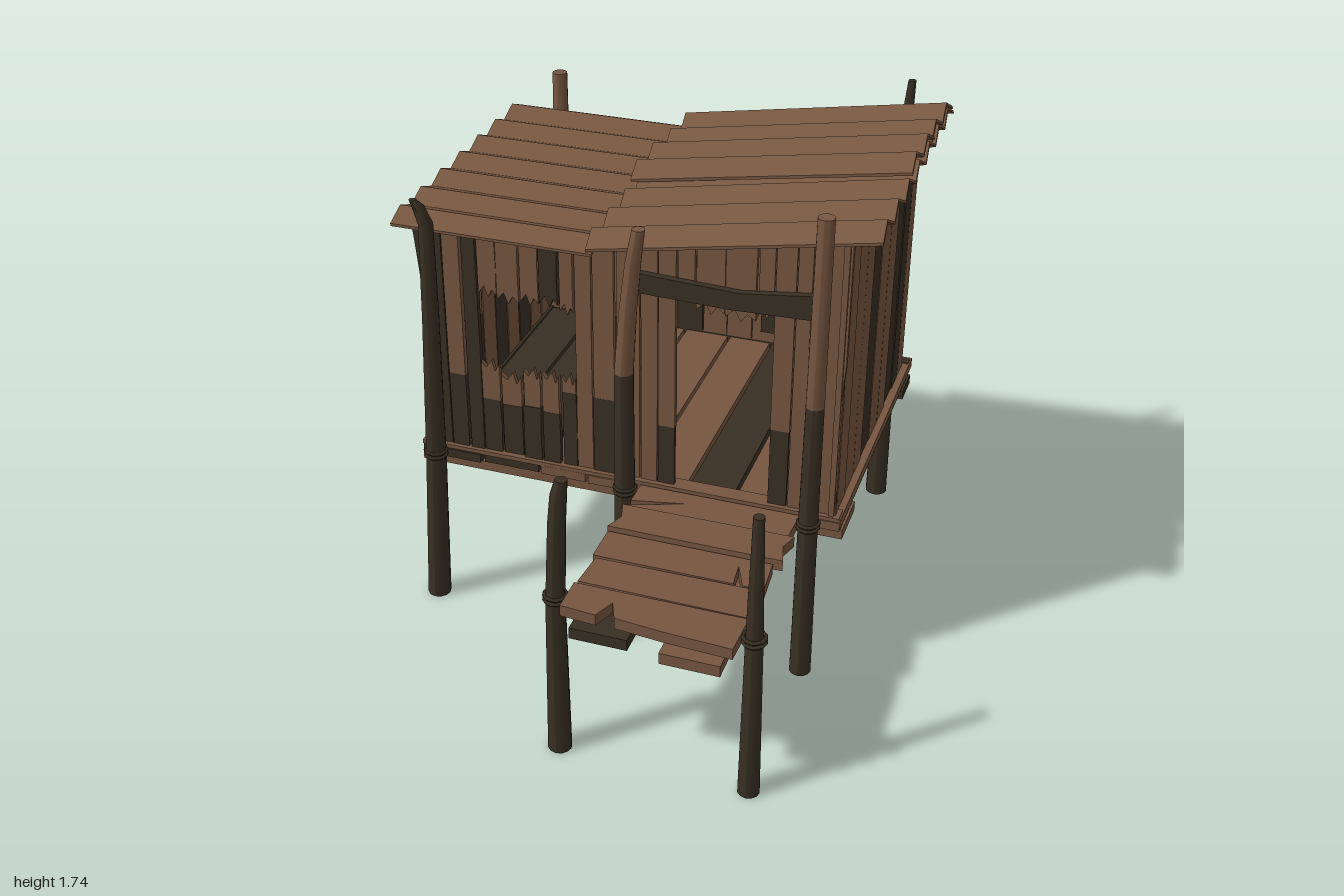
import * as THREE from 'three';

const mat = (name, color) => Object.assign(new THREE.MeshStandardMaterial({ color }), { name });
const light = mat('weatheredWood', 0x765640);
const dark = mat('rottenWood', 0x382f23);

let seed = 7;
const rnd = (a = 1) => {
  seed = (seed * 16807) % 2147483647;
  return (seed / 2147483647 * 2 - 1) * a;
};

function group(parent, name) {
  const g = new THREE.Group();
  g.name = name;
  parent.add(g);
  return g;
}
function add(parent, name, geo, material) {
  const m = new THREE.Mesh(geo, material);
  m.name = name;
  parent.add(m);
  return m;
}

// Flat polygon given depth
function slab(parent, name, pts, depth, material) {
  const shape = new THREE.Shape(pts.map(p => new THREE.Vector2(...p)));
  return add(parent, name, new THREE.ExtrudeGeometry(shape, { depth, bevelEnabled: false }), material);
}
function box(parent, name, x0, x1, y0, y1, z0, z1, material) {
  const g = new THREE.BoxGeometry(x1 - x0, y1 - y0, z1 - z0);
  g.translate((x0 + x1) / 2, (y0 + y1) / 2, (z0 + z1) / 2);
  return add(parent, name, g, material);
}

// Underside of the roof: flat on one side, rising on the other
const roofY = x => x < -0.14 ? 1.465 : 1.475 + (x + 0.14) * 0.183;

// Upright board; jag = 'top' or 'bottom' gives a splintered end
function board(parent, u0, u1, y0, yL, yR, material, jag) {
  const w = u1 - u0, a = u0 + 0.003 + rnd(0.003), b = u1 - 0.003 + rnd(0.003);
  const pts = [[a, y0]];
  if (jag === 'bottom') pts.push([a + w * 0.3, y0 + 0.03], [a + w * 0.5, y0 - 0.01], [a + w * 0.7, y0 + 0.02]);
  pts.push([b, y0], [b + rnd(0.003), (y0 + yR) / 2], [b, yR]);
  if (jag === 'top') pts.push([a + w * 0.7, yR - 0.03], [a + w * 0.55, yR + 0.012], [a + w * 0.25, yR - 0.02]);
  pts.push([a, yL]);
  slab(parent, 'plank', pts, 0.018 + rnd(0.003), material).position.z = rnd(0.002);
}

// Row of full-height boards: [u0, u1, material, height of dark foot]
function wall(parent, name, rows, top) {
  const g = group(parent, name);
  for (const [u0, u1, m, foot] of rows) {
    const y0 = foot || 0.625;
    if (foot) board(g, u0, u1, 0.625, foot, foot, dark);
    board(g, u0, u1, y0, top(u0), top(u1), m);
  }
  return g;
}

// Round post lofted through rings [x, y, z, radius]
function post(parent, name, rings, material) {
  const n = rings.length - 1;
  const geo = new THREE.CylinderGeometry(1, 1, 1, 12, n);
  const p = geo.attributes.position;
  for (let i = 0; i < p.count; i++) {
    const [x, y, z, r] = rings[Math.round((p.getY(i) + 0.5) * n)];
    p.setXYZ(i, x + p.getX(i) * r, y, z + p.getZ(i) * r);
  }
  geo.computeVertexNormals();
  add(parent, name, geo, material);
}

// Corrugated sheet running along x from its origin, z0 (back) to z1 (front)
function sheet(parent, name, x, y, z0, periods, length, slope, yaw, amp) {
  const pitch = 0.16, t = 0.01, top = [], bottom = [];
  for (let i = 0; i <= periods * 2; i++) {
    const s = -i * pitch / 2, h = i % 2 ? amp : 0;
    top.push([s, h]);
    bottom.unshift([s, h - t]);
  }
  const g = group(parent, name);
  g.position.set(x, y, z0);
  g.rotation.set(0, yaw, slope, 'YXZ');
  slab(g, 'corrugation', [...top, ...bottom].reverse(), length, light).rotation.y = Math.PI / 2;
}

export function createModel() {
  const root = new THREE.Group();
  root.name = 'stiltHut';

  // Posts
  const posts = group(root, 'posts');
  post(posts, 'frontLeftPost', [[-0.73, 0, 0.23, 0.042], [-0.705, 0.6, 0.23, 0.036], [-0.69, 1.15, 0.23, 0.029],
    [-0.685, 1.5, 0.23, 0.025], [-0.705, 1.56, 0.235, 0.021], [-0.722, 1.585, 0.24, 0.012]], dark);
  post(posts, 'middlePostBase', [[0, 0, 0.23, 0.041], [0, 0.6, 0.23, 0.036], [0, 1.07, 0.23, 0.033]], dark);
  post(posts, 'middlePostTop', [[0, 1.07, 0.23, 0.033], [0.015, 1.3, 0.23, 0.03], [0.035, 1.48, 0.235, 0.027], [0.055, 1.6, 0.24, 0.022]], light);
  post(posts, 'frontRightPostBase', [[0.645, 0, 0.235, 0.038], [0.645, 0.6, 0.235, 0.034], [0.647, 1.07, 0.235, 0.031]], dark);
  post(posts, 'frontRightPostTop', [[0.647, 1.07, 0.235, 0.031], [0.65, 1.73, 0.235, 0.028]], light);
  post(posts, 'backLeftPostBase', [[-0.68, 0, -0.958, 0.041], [-0.68, 0.6, -0.958, 0.036], [-0.68, 0.95, -0.958, 0.033]], dark);
  post(posts, 'backLeftPostTop', [[-0.68, 0.95, -0.958, 0.033], [-0.68, 1.6, -0.958, 0.028]], light);
  post(posts, 'backRightPost', [[0.645, 0, -0.955, 0.041], [0.645, 0.6, -0.955, 0.035], [0.645, 1.3, -0.95, 0.028],
    [0.65, 1.55, -0.95, 0.022], [0.66, 1.735, -0.955, 0.014]], dark);
  post(posts, 'dockLeftPost', [[0, 0, 0.87, 0.04], [0, 0.6, 0.87, 0.032], [0.012, 0.9, 0.87, 0.029], [0.02, 1.0, 0.87, 0.027], [0.03, 1.055, 0.87, 0.02]], dark);
  post(posts, 'dockRightPost', [[0.645, 0, 0.87, 0.037], [0.645, 0.6, 0.87, 0.029], [0.645, 1.06, 0.87, 0.018]], dark);
  for (const [x, z] of [[-0.704, 0.23], [0, 0.23], [0.645, 0.235], [-0.68, -0.958], [0.645, -0.955], [0, 0.87], [0.645, 0.87]])
    for (const y of [0.605, 0.622]) {
      const ring = add(posts, 'lashing', new THREE.TorusGeometry(0.035, 0.007, 5, 12), dark);
      ring.rotation.x = Math.PI / 2;
      ring.position.set(x, y, z);
    }

  // Floor, joists and sills
  const floor = group(root, 'floor');
  [-0.77, -0.54, -0.325, -0.15, 0.03, 0.2, 0.37, 0.55, 0.75].forEach((x, i, a) => {
    if (i < a.length - 1)
      box(floor, 'floorBoard', x + 0.006, a[i + 1] - 0.006, 0.585, 0.618, -0.92 + rnd(0.01), 0.2 + rnd(0.008), [0, 1, 5].includes(i) ? dark : light);
  });
  box(floor, 'frontJoist', -0.78, 0.75, 0.54, 0.577, 0, 0.18, light);
  box(floor, 'backJoist', -0.78, 0.75, 0.54, 0.577, -0.91, -0.78, dark);
  box(floor, 'frontSill', -0.77, 0.74, 0.616, 0.632, 0.14, 0.2, light);
  box(floor, 'backSill', -0.77, 0.74, 0.59, 0.63, -0.94, -0.9, dark);
  box(floor, 'rightSill', 0.69, 0.745, 0.59, 0.627, -0.95, 0.2, light);
  box(floor, 'leftSill', -0.765, -0.71, 0.59, 0.627, -0.95, 0.2, dark);

  // Front wall: solid boards, then broken boards around window and doorway
  const front = wall(root, 'frontWall', [
    [-0.66, -0.59, light, 0.92], [-0.59, -0.535, dark], [-0.19, -0.13, light], [-0.13, -0.045, light, 0.92],
    [-0.045, 0.04, light], [0.04, 0.1, light], [0.1, 0.165, light, 0.86], [0.485, 0.555, light, 0.92],
    [0.555, 0.61, light], [0.61, 0.66, light]], roofY);
  front.position.z = 0.165;
  slab(front, 'cornerPlank', [[-0.745, 0.625], [-0.66, 0.625], [-0.66, 1.46], [-0.76, 1.46], [-0.735, 1.2]], 0.018, dark);
  slab(front, 'cornerPlank', [[0.66, 0.625], [0.725, 0.625], [0.712, 0.95], [0.728, 1.2], [0.728, 1.62], [0.66, 1.61]], 0.018, light);
  for (const [u0, u1, foot, sill, lintel, m] of [
    [-0.535, -0.465, 0.84, 0.985, 1.25, light], [-0.465, -0.385, 0.83, 0.95, 1.235, light],
    [-0.385, -0.315, 0.84, 0.98, 1.24, light], [-0.315, -0.245, 0.83, 0.98, 1.25, dark], [-0.245, -0.19, 0.92, 0.98, 1.23, light]]) {
    board(front, u0, u1, 0.625, foot, foot, dark);
    board(front, u0, u1, foot, sill, sill, light, 'top');
    board(front, u0, u1, lintel, 1.46, 1.46, m, 'bottom');
  }
  for (const [u0, u1, y] of [[0.165, 0.225, 1.35], [0.225, 0.325, 1.32], [0.325, 0.43, 1.31], [0.43, 0.485, 1.33]])
    board(front, u0, u1, y, roofY(u0), roofY(u1), light, 'bottom');
  slab(root, 'doorHeader', [[0.03, 1.36], [0.35, 1.352], [0.62, 1.36], [0.62, 1.445], [0.38, 1.415], [0.03, 1.43]], 0.025, dark).position.z = 0.186;

  // Back wall
  const back = wall(root, 'backWall', [
    [-0.74, -0.65, light], [-0.65, -0.56, light], [-0.56, -0.47, light, 0.9], [-0.47, -0.37, light], [-0.37, -0.27, dark],
    [-0.27, -0.19, light], [-0.19, -0.08, light, 0.95], [-0.08, 0.02, light], [0.02, 0.12, light], [0.12, 0.225, light],
    [0.225, 0.325, dark], [0.325, 0.43, dark], [0.43, 0.52, light], [0.52, 0.62, light], [0.62, 0.715, light]], roofY);
  back.position.z = -0.915;
  box(root, 'backPatch', -0.53, -0.32, 0.63, 0.74, -0.94, -0.918, dark);
  box(root, 'backPatch', 0.5, 0.6, 0.63, 0.8, -0.935, -0.918, dark);
  box(root, 'fallenRail', 0.165, 0.485, 0.68, 0.76, -0.89, -0.868, dark);

  // Right wall (u runs toward the back)
  const right = wall(root, 'rightWall', [
    [-0.195, -0.16, light], [-0.16, -0.04, light], [-0.04, 0.085, light], [0.085, 0.2, light], [0.2, 0.32, dark],
    [0.32, 0.45, light], [0.45, 0.575, light], [0.575, 0.69, dark], [0.69, 0.795, dark], [0.795, 0.89, light]], () => 1.63);
  right.rotation.y = Math.PI / 2;
  right.position.x = 0.7;

  // Left wall (u runs toward the front)
  const left = wall(root, 'leftWall', [
    [-0.9, -0.8, light], [-0.8, -0.69, light], [-0.69, -0.58, light, 0.9], [-0.58, -0.47, light], [-0.47, -0.36, dark],
    [-0.36, -0.25, light], [-0.25, -0.14, light, 0.92], [-0.14, -0.03, light], [-0.03, 0.07, dark], [0.07, 0.175, light]], () => 1.465);
  left.rotation.y = -Math.PI / 2;
  left.position.x = -0.72;

  // Corrugated roof
  const roof = group(root, 'roof');
  sheet(roof, 'flatSheet', -0.83, 1.465, -0.92, 7, 0.71, 0, 0, 0.033);
  sheet(roof, 'slopedSheet', -0.14, 1.48, -0.92, 7, 0.975, 0.181, 0, 0.042);
  sheet(roof, 'backOverlay', -0.14, 1.5, -0.945, 2, 0.97, 0.178, -0.026, 0.042);
  sheet(roof, 'middleOverlay', -0.155, 1.51, -0.62, 2, 0.985, 0.178, -0.026, 0.042);

  // Dock walkway
  const dock = group(root, 'dock');
  box(dock, 'stringer', 0.08, 0.27, 0.54, 0.58, 0.2, 0.965, dark);
  box(dock, 'stringer', 0.38, 0.575, 0.54, 0.58, 0.2, 0.99, light);
  const planks = [
    [[0.05, 0.21], [0.61, 0.21], [0.605, 0.345], [0.045, 0.34], [0.23, 0.27], [0.05, 0.31]],
    [[0.04, 0.36], [0.63, 0.355], [0.61, 0.42], [0.63, 0.495], [0.035, 0.495], [0.06, 0.43]],
    [[0.04, 0.505], [0.6, 0.505], [0.61, 0.645], [0.54, 0.645], [0.5, 0.55], [0.51, 0.645], [0.04, 0.645]],
    [[0.055, 0.66], [0.61, 0.655], [0.605, 0.8], [0.045, 0.795]],
    [[0.04, 0.81], [0.61, 0.81], [0.605, 0.965], [0.38, 0.955], [0.22, 0.94], [0.19, 0.87], [0.16, 0.945], [0.04, 0.935]]];
  planks.forEach((pts, i) => {
    const m = slab(dock, 'dockPlank', pts, 0.04, light);
    m.rotation.x = Math.PI / 2;
    m.position.y = [0.625, 0.64, 0.627, 0.63, 0.635][i];
  });
  return root;
}
